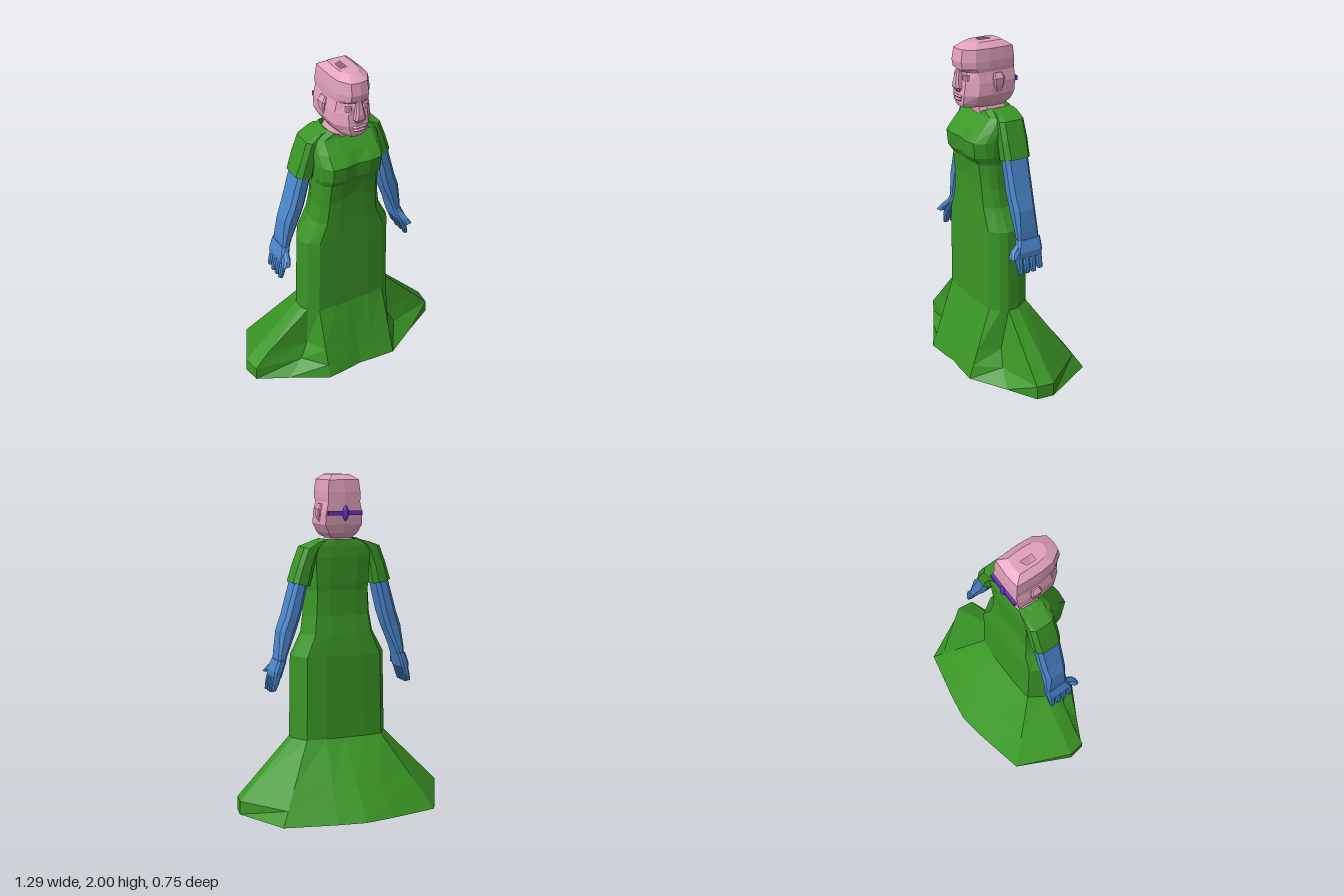
import * as THREE from 'three';

const mat = (name, color) => {
  const m = new THREE.MeshStandardMaterial({ color, side: THREE.DoubleSide });
  m.name = name;
  return m;
};

// Mirrors a half outline (front centre to back centre) into a full ring
const mirrorRing = half => [
  ...half,
  ...half.slice(1, -1).reverse().map(v => new THREE.Vector3(-v.x, v.y, v.z)),
];

// Half section of the gown: half width, front and back depth, neck or waist dip, bust cleft
const BODY_X = [0, .38, .74, .93, 1, 1, .8, .4, 0];
const BODY_Z = [1, 1, .97, .8, .64, .4, .04, 0, 0];
const bodyHalf = (y, w, front, back, dip = 0, cleft = 0) => BODY_X.map((fx, i) => new THREE.Vector3(
  fx * w,
  y - dip * Math.max(0, 1 - i * .37),
  back + (front - back) * BODY_Z[i] - (i === 0 ? cleft : 0)));

// Half section of the head: half width, front and back depth, depth of the eye hollow
const HEAD_X = [0, .5, .92, 1, .98, .94, 0];
const HEAD_Z = [1, .975, .77, .52, .21, .02, 0];
const headHalf = (y, w, front, back, hollow = 0) => HEAD_X.map((fx, i) => new THREE.Vector3(
  fx * w, y, back + (front - back) * HEAD_Z[i] - (i === 1 ? hollow : 0)));

// Chamfered rectangle ring; the height may differ between its inner and outer side
const boxRing = (x0, x1, z0, z1, yIn, yOut = yIn) => {
  const c = Math.min(x1 - x0, z1 - z0) * .25;
  const pts = [[x0 + c, z1], [x1 - c, z1], [x1, z1 - c], [x1, z0 + c],
    [x1 - c, z0], [x0 + c, z0], [x0, z0 + c], [x0, z1 - c]];
  return pts.map(([x, z]) => new THREE.Vector3(x, yIn + (yOut - yIn) * (x - x0) / (x1 - x0), z));
};

// Faceted skin through rings listed from bottom to top
function loft(name, rings, material, closed = true) {
  const n = rings[0].length, out = [];
  const tri = (...v) => v.forEach(p => out.push(p.x, p.y, p.z));
  for (let i = 0; i < rings.length - 1; i++) {
    for (let j = 0; j < n; j++) {
      const k = (j + 1) % n, [lo, hi] = [rings[i], rings[i + 1]];
      tri(lo[j], lo[k], hi[k]);
      tri(lo[j], hi[k], hi[j]);
    }
  }
  if (closed) {
    const lo = rings[0], hi = rings[rings.length - 1];
    for (let j = 1; j < n - 1; j++) {
      tri(lo[0], lo[j + 1], lo[j]);
      tri(hi[0], hi[j], hi[j + 1]);
    }
  }
  const g = new THREE.BufferGeometry();
  g.setAttribute('position', new THREE.Float32BufferAttribute(out, 3));
  g.computeVertexNormals();
  const mesh = new THREE.Mesh(g, material);
  mesh.name = name;
  return mesh;
}

// Group of parts for one side, mirrored for the right
function sideGroup(name, s) {
  const g = new THREE.Group();
  g.name = name;
  g.scale.x = s;
  return g;
}

export function createModel() {
  const green = mat('dress green', 0x3a9626);
  const pink = mat('skin pink', 0xe3a1bd);
  const blue = mat('glove blue', 0x4a86cc);
  const purple = mat('clip purple', 0x6a2fc8);
  const model = new THREE.Group();
  model.name = 'womanInGown';

  // Flared hem: the sides spread early, the fold beside the front panel late
  const hip = bodyHalf(.43, .3, .24, -.025);
  const hem = [[0, .355], [.08, .365], [.23, .375], [.45, .25], [.63, .155],
    [.645, .05], [.48, -.28], [.17, -.345], [0, -.37]];
  const flare = y => {
    const t = 1 - y / .43;
    return mirrorRing(hip.map((p, i) => {
      const spread = i === 3 ? t ** 5 : i === 4 || i === 5 ? Math.min(1, t * 1.22) : t;
      return p.clone().lerp(new THREE.Vector3(hem[i][0], 0, hem[i][1]), spread).setY(y);
    }));
  };
  model.add(loft('flaredHem', [0, .08, .18, .43].map(flare), green, false));

  // Fitted gown from hips to neckline
  model.add(loft('gownBody', [
    [.43, .3, .24, -.025],
    [.93, .29, .24, -.02],
    [1.06, .222, .24, -.01],
    [1.17, .205, .243, .005, -.06],
    [1.32, .198, .257, .005],
    [1.365, .205, .288, 0, 0, .01],
    [1.455, .208, .297, -.005, 0, .012],
    [1.52, .21, .24, -.008],
    [1.585, .205, .18, -.005],
    [1.625, .11, .175, 0, .045],
  ].map(r => mirrorRing(bodyHalf(...r))), green, false));

  // Sleeve, arm and hand, made once and mirrored
  for (const [side, s] of [['left', 1], ['right', -1]]) {
    const arm = sideGroup(side + 'ArmGroup', s);
    arm.add(loft(side + 'Sleeve', [
      boxRing(.2, .31, -.005, .16, 1.35, 1.375),
      boxRing(.18, .275, -.006, .16, 1.46, 1.48),
      boxRing(.14, .238, -.004, .155, 1.565, 1.58),
      boxRing(.1, .17, 0, .14, 1.622, 1.605),
    ], green));
    arm.add(loft(side + 'Arm', [
      boxRing(.36, .405, .005, .14, .91),
      boxRing(.343, .402, .005, .142, .96),
      boxRing(.288, .386, .01, .15, 1.09),
      boxRing(.26, .352, .005, .155, 1.18),
      boxRing(.215, .298, .005, .155, 1.37),
    ], blue));
    arm.add(loft(side + 'Palm', [
      boxRing(.39, .432, 0, .168, .82),
      boxRing(.378, .432, -.005, .165, .855),
      boxRing(.358, .408, -.005, .142, .92),
    ], blue));
    for (let i = 0; i < 4; i++) {
      const z = .001 + i * .043, tip = i === 0 ? .742 : .73;
      arm.add(loft(side + 'Finger' + (i + 1), [
        boxRing(.424, .447, z + .004, z + .035, tip),
        boxRing(.405, .44, z, z + .039, .785),
        boxRing(.39, .43, z, z + .039, .83),
      ], blue));
    }
    arm.add(loft(side + 'Thumb', [
      boxRing(.395, .445, .175, .212, .83),
      boxRing(.385, .425, .14, .195, .862),
      boxRing(.375, .405, .1, .145, .9),
    ], blue));
    model.add(arm);
  }

  // Head and neck in one skin, with jaw, cheeks, eye hollows and brow
  const headRings = [
    [1.57, .1, .18, .015],
    [1.63, .072, .185, .03],
    [1.637, .075, .288, .02],
    [1.66, .095, .296, 0],
    [1.71, .122, .298, -.012],
    [1.78, .12, .287, -.02],
    [1.84, .105, .288, -.02, .018],
    [1.86, .107, .303, -.02],
    [1.9, .107, .31, -.02],
    [1.97, .099, .298, -.014],
    [2, .058, .235, .035],
  ].map(r => mirrorRing(headHalf(...r)));
  model.add(loft('headAndNeck', headRings, pink, false));

  // Crown plate with its small opening
  const crown = new THREE.Shape(headRings[headRings.length - 1].map(v => new THREE.Vector2(v.x, -v.z)));
  crown.holes.push(new THREE.Path([[-.037, -.155], [-.037, -.1], [.002, -.08], [.002, -.155]]
    .map(([x, y]) => new THREE.Vector2(x, y))));
  const crownMesh = new THREE.Mesh(new THREE.ShapeGeometry(crown).rotateX(-Math.PI / 2).translate(0, 2, 0), pink);
  crownMesh.name = 'crown';
  model.add(crownMesh);

  // Nose and lips
  model.add(loft('nose', [
    boxRing(-.02, .02, .27, .3, 1.725),
    boxRing(-.035, .035, .27, .318, 1.75),
    boxRing(-.028, .028, .27, .318, 1.78),
    boxRing(-.014, .014, .265, .3, 1.86),
  ], pink));
  for (const [name, y, w] of [['lowerLip', 1.683, .035], ['upperLip', 1.702, .042]]) {
    model.add(loft(name, [
      boxRing(-w * .8, w * .8, .27, .302, y - .008),
      boxRing(-w, w, .27, .31, y),
      boxRing(-w * .8, w * .8, .27, .302, y + .007),
    ], pink));
  }

  // Eyelids and ears
  for (const [side, s] of [['left', 1], ['right', -1]]) {
    const face = sideGroup(side + 'FaceParts', s);
    face.add(loft(side + 'Eyelid', [
      boxRing(.032, .07, .24, .284, 1.795),
      boxRing(.036, .066, .24, .282, 1.825),
    ], pink));
    face.add(loft(side + 'Ear', [
      boxRing(.095, .118, .085, .115, 1.71),
      boxRing(.1, .132, .07, .13, 1.765),
      boxRing(.1, .134, .065, .135, 1.8),
      boxRing(.095, .115, .075, .125, 1.83),
    ], pink));
    model.add(face);
  }

  // Clip across the back of the head
  const bar = new THREE.Mesh(new THREE.BoxGeometry(.212, .026, .016), purple);
  bar.name = 'clipBar';
  bar.position.set(0, 1.778, -.026);
  const knot = new THREE.Mesh(new THREE.SphereGeometry(1, 10, 8), purple);
  knot.name = 'clipKnot';
  knot.scale.set(.018, .045, .013);
  knot.position.set(0, 1.778, -.032);
  model.add(bar, knot);

  return model;
}
